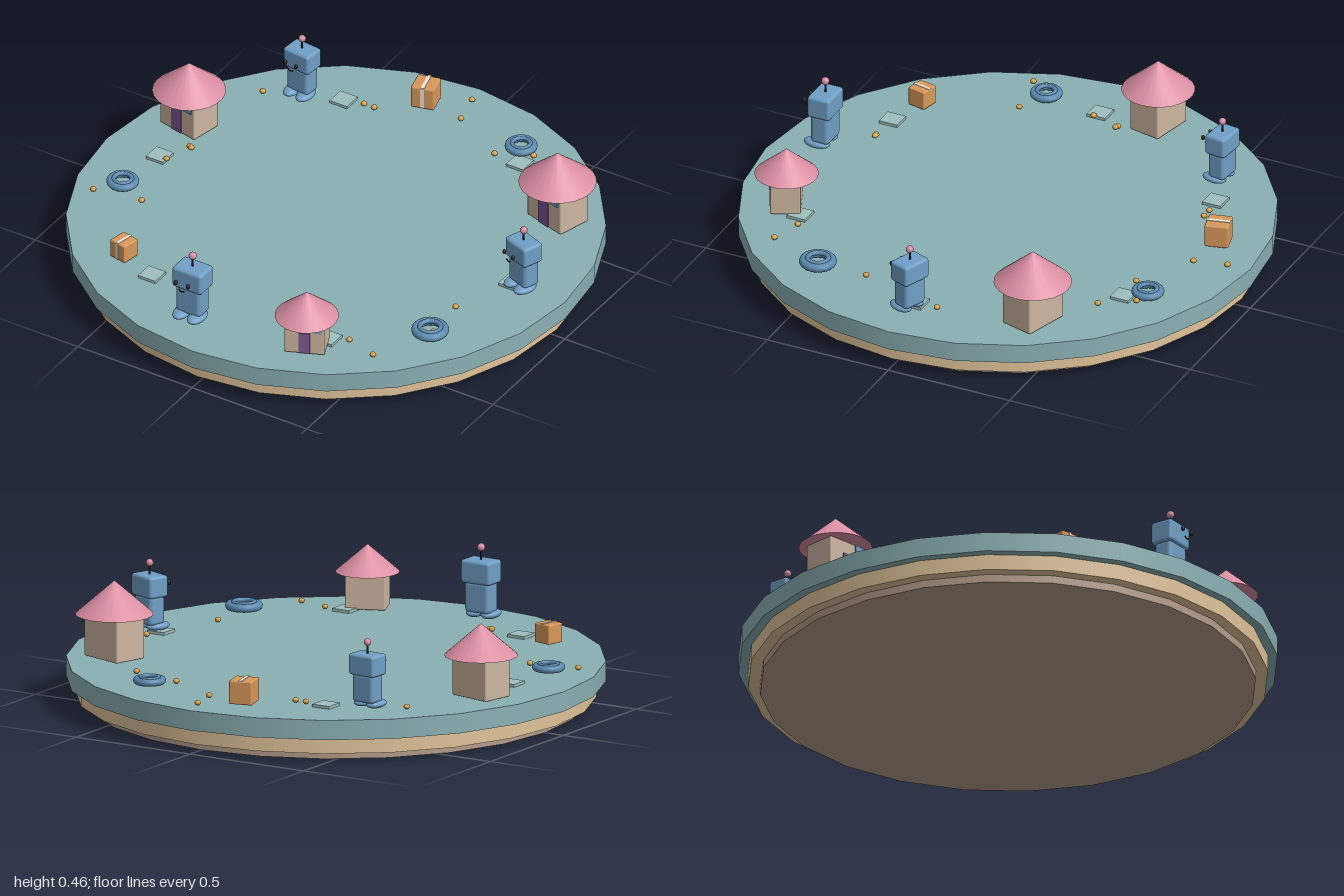
import * as THREE from 'three';
import { RoundedBoxGeometry } from 'three/addons/geometries/RoundedBoxGeometry.js';

const GROUND = 0.165;

const paint = (color) => new THREE.MeshStandardMaterial({ color });
const MAT = {
  teal: paint(0x8ab0b3), tan: paint(0xe0c39a), brown: paint(0xb39c8a),
  wall: paint(0xcdb6a0), roof: paint(0xdb8fa3), door: paint(0x7d5a93),
  blue: paint(0x6f9fc6), ring: paint(0x5c8bb0), dark: paint(0x20242a),
  box: paint(0xd9985a), tape: paint(0xf0e6d8), gold: paint(0xd6a24a),
  plate: paint(0x9fbfbf),
};

function add(parent, name, geometry, material, x = 0, y = 0, z = 0) {
  const mesh = new THREE.Mesh(geometry, material);
  mesh.name = name;
  mesh.position.set(x, y, z);
  parent.add(mesh);
  return mesh;
}

const block = (w, h, d, r) => new RoundedBoxGeometry(w, h, d, 2, r);

// Cottage with a round conical roof, door and window on the front
function house() {
  const g = new THREE.Group();
  g.name = 'house';
  add(g, 'walls', block(0.175, 0.16, 0.13, 0.006), MAT.wall, 0, 0.085, 0);
  add(g, 'roof', new THREE.ConeGeometry(0.137, 0.12, 24), MAT.roof, 0, 0.22, 0);
  add(g, 'door', new THREE.BoxGeometry(0.048, 0.1, 0.01), MAT.door, 0, 0.06, 0.065);
  add(g, 'window', new THREE.BoxGeometry(0.038, 0.042, 0.01), MAT.blue, 0.055, 0.137, 0.065);
  return g;
}

// Little robot facing +z
function robot() {
  const g = new THREE.Group();
  g.name = 'robot';
  const ball = new THREE.SphereGeometry(1, 16, 12);
  add(g, 'torso', block(0.108, 0.12, 0.075, 0.016), MAT.blue, 0, 0.09, 0);
  add(g, 'head', block(0.128, 0.088, 0.092, 0.012), MAT.blue, 0, 0.186, 0);
  add(g, 'antenna', new THREE.CylinderGeometry(0.004, 0.004, 0.05, 8), MAT.dark, 0, 0.25, 0);
  add(g, 'antennaBall', ball, MAT.roof, 0, 0.276, 0).scale.setScalar(0.015);
  for (const s of [-1, 1]) {
    add(g, 'foot', ball, MAT.blue, s * 0.032, 0.024, 0.018).scale.set(0.032, 0.018, 0.053);
    add(g, 'eye', ball, MAT.dark, s * 0.027, 0.19, 0.075).scale.set(0.008, 0.011, 0.008);
  }
  const smile = add(g, 'mouth', new THREE.TorusGeometry(0.014, 0.003, 6, 12, Math.PI * 0.7), MAT.dark, 0, 0.172, 0.075);
  smile.rotation.z = Math.PI * 1.15;
  return g;
}

// Parcel closed with a tape strip over the top and front
function parcel() {
  const g = new THREE.Group();
  g.name = 'parcel';
  add(g, 'carton', block(0.09, 0.09, 0.09, 0.006), MAT.box, 0, 0.054, 0);
  add(g, 'tapeTop', new THREE.BoxGeometry(0.014, 0.004, 0.09), MAT.tape, 0, 0.099, 0);
  add(g, 'tapeFront', new THREE.BoxGeometry(0.014, 0.086, 0.004), MAT.tape, 0, 0.056, 0.045);
  return g;
}

// Swim ring made of two stacked hoops
function floatRing() {
  const g = new THREE.Group();
  g.name = 'floatRing';
  for (const [radius, tube, y] of [[0.047, 0.014, 0.022], [0.034, 0.008, 0.032]]) {
    const hoop = new THREE.TorusGeometry(radius, tube, 12, 32).rotateX(Math.PI / 2);
    add(g, 'hoop', hoop, MAT.ring, 0, y, 0);
  }
  return g;
}

export function createModel() {
  const model = new THREE.Group();
  model.name = 'villageDisc';

  // Stepped base: name, radius, bottom, top
  for (const [name, r, y0, y1, mat] of [
    ['baseFoot', 0.92, 0, 0.04, MAT.brown],
    ['baseRim', 0.965, 0.03, 0.1, MAT.tan],
    ['baseTop', 1, 0.09, GROUND, MAT.teal],
  ]) {
    add(model, name, new THREE.CylinderGeometry(r, r, y1 - y0, 24), mat, 0, (y0 + y1) / 2, 0);
  }

  // Eleven items evenly spaced on a circle: builder, turn, scale
  const items = [
    [robot, -0.35, 0.94], [floatRing, 0, 1.15], [house, 0.4, 0.87],
    [robot, 0, 1], [parcel, -0.2, 0.82], [floatRing, 0, 1],
    [house, -0.2, 1], [robot, -0.1, 0.92], [parcel, 0.25, 1],
    [floatRing, 0, 1], [house, -0.28, 1.06],
  ];
  items.forEach(([build, turn, scale], i) => {
    const a = (i / items.length) * Math.PI * 2;
    const item = build();
    item.position.set(0.82 * Math.cos(a), GROUND, 0.82 * Math.sin(a));
    item.rotation.y = turn;
    item.scale.setScalar(scale);
    model.add(item);
  });

  // Six paving plates
  const plate = new THREE.BoxGeometry(0.075, 0.012, 0.075);
  for (let i = 0; i < 6; i++) {
    const a = (i * Math.PI) / 3;
    add(model, 'pavingPlate', plate, MAT.plate, 0.77 * Math.cos(a), GROUND + 0.005, 0.77 * Math.sin(a));
  }

  // Scattered gold pebbles
  const pebble = new THREE.SphereGeometry(0.012, 10, 8).scale(1, 0.8, 1);
  for (const [x, z] of [
    [0.02, -0.915], [0.05, -0.79], [-0.665, -0.55], [-0.305, -0.68], [-0.26, -0.68],
    [0.275, -0.665], [0.405, -0.73], [0.485, -0.61], [-0.705, -0.105], [-0.695, -0.1],
    [-0.735, 0.01], [0.775, -0.09], [0.68, 0.25], [0.695, 0.43], [-0.86, 0.32],
    [-0.67, 0.285], [-0.255, 0.67], [-0.245, 0.67], [0.46, 0.64], [0.585, 0.675],
  ]) {
    add(model, 'pebble', pebble, MAT.gold, x, GROUND + 0.011, z);
  }

  return model;
}
